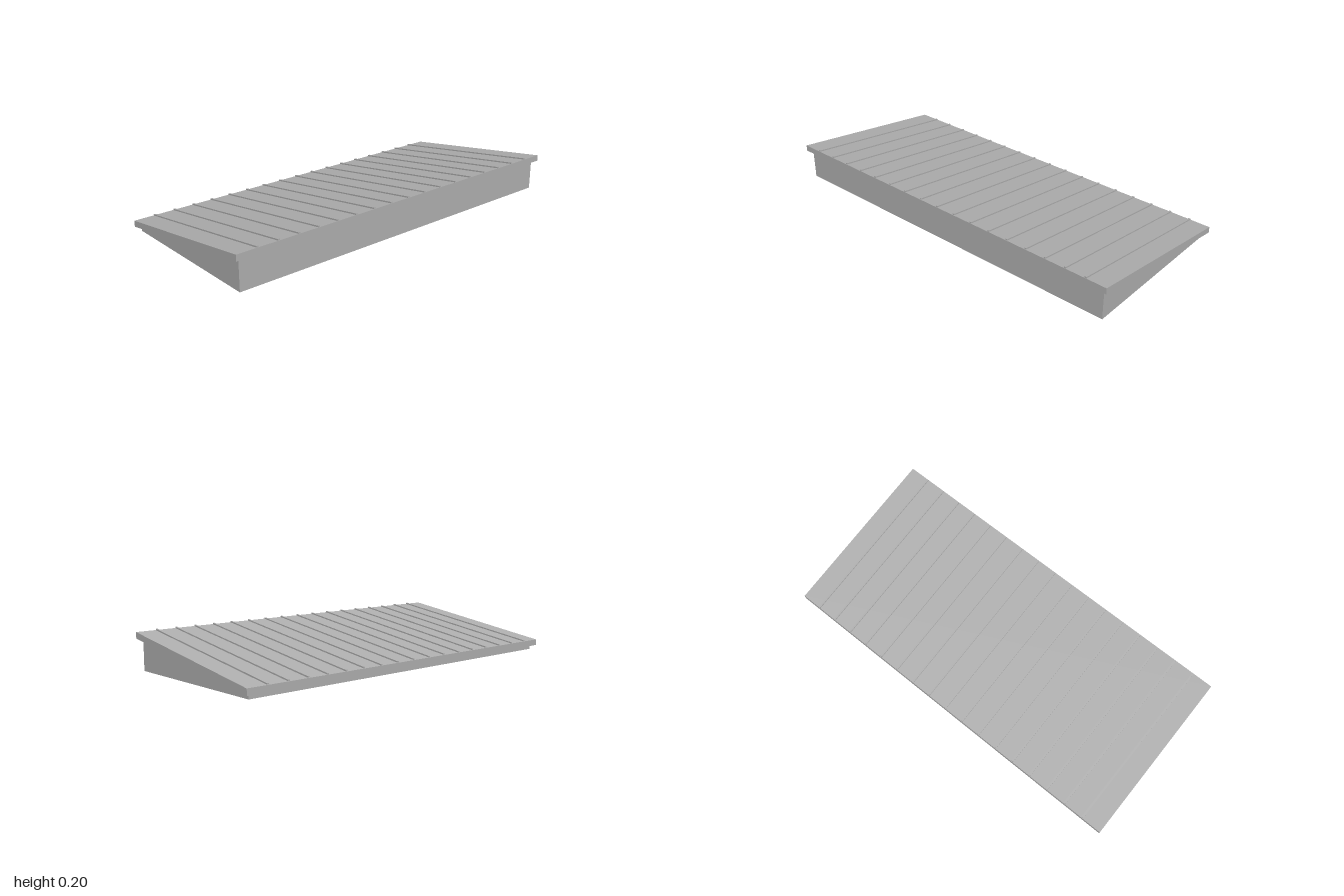
import * as THREE from 'three';

export function createModel() {
  const model = new THREE.Group();
  const grey = new THREE.MeshStandardMaterial({ color: 0xb0b0b0 });
  grey.name = 'plain grey';

  // height of the sloping roof underside at a given x
  const under = (x) => 0.091 + 0.1516 * x;

  // four-sided profile in the xy plane, extruded along z and centred on zMid
  function prism(name, points, depth, zMid) {
    const shape = new THREE.Shape(points.map(([x, y]) => new THREE.Vector2(x, y)));
    const geometry = new THREE.ExtrudeGeometry(shape, { depth, bevelEnabled: false });
    geometry.translate(0, 0, zMid - depth / 2);
    const mesh = new THREE.Mesh(geometry, grey);
    mesh.name = name;
    model.add(mesh);
  }

  // vertical piece standing on the ground and cut to the roof slope
  const wall = (name, x0, x1, depth, z) =>
    prism(name, [[x0, 0], [x1, 0], [x1, under(x1)], [x0, under(x0)]], depth, z);

  // piece parallel to the roof, between two heights above its underside
  const sloped = (name, x0, x1, low, high, depth, z) =>
    prism(name, [
      [x0, under(x0) + low], [x1, under(x1) + low],
      [x1, under(x1) + high], [x0, under(x0) + high],
    ], depth, z);

  // hollow base, open underneath
  const halfX = 0.433, halfZ = 0.975, thick = 0.025;
  wall('lowWall', -halfX, -halfX + thick, 2 * halfZ, 0);
  wall('highWall', halfX - thick, halfX, 2 * halfZ, 0);
  for (const side of [-1, 1]) {
    wall(side > 0 ? 'frontWall' : 'backWall',
      -halfX + thick, halfX - thick, thick, side * (halfZ - thick / 2));
  }

  // overhanging roof slab
  sloped('roofSlab', -0.456, 0.456, 0, 0.032, 2, 0);

  // standing seams running down the slope
  const bays = 18;
  for (let i = 1; i < bays; i++) {
    sloped('roofSeam', -0.453, 0.453, 0.031, 0.039, 0.01, -1 + (2 * i) / bays);
  }

  return model;
}
